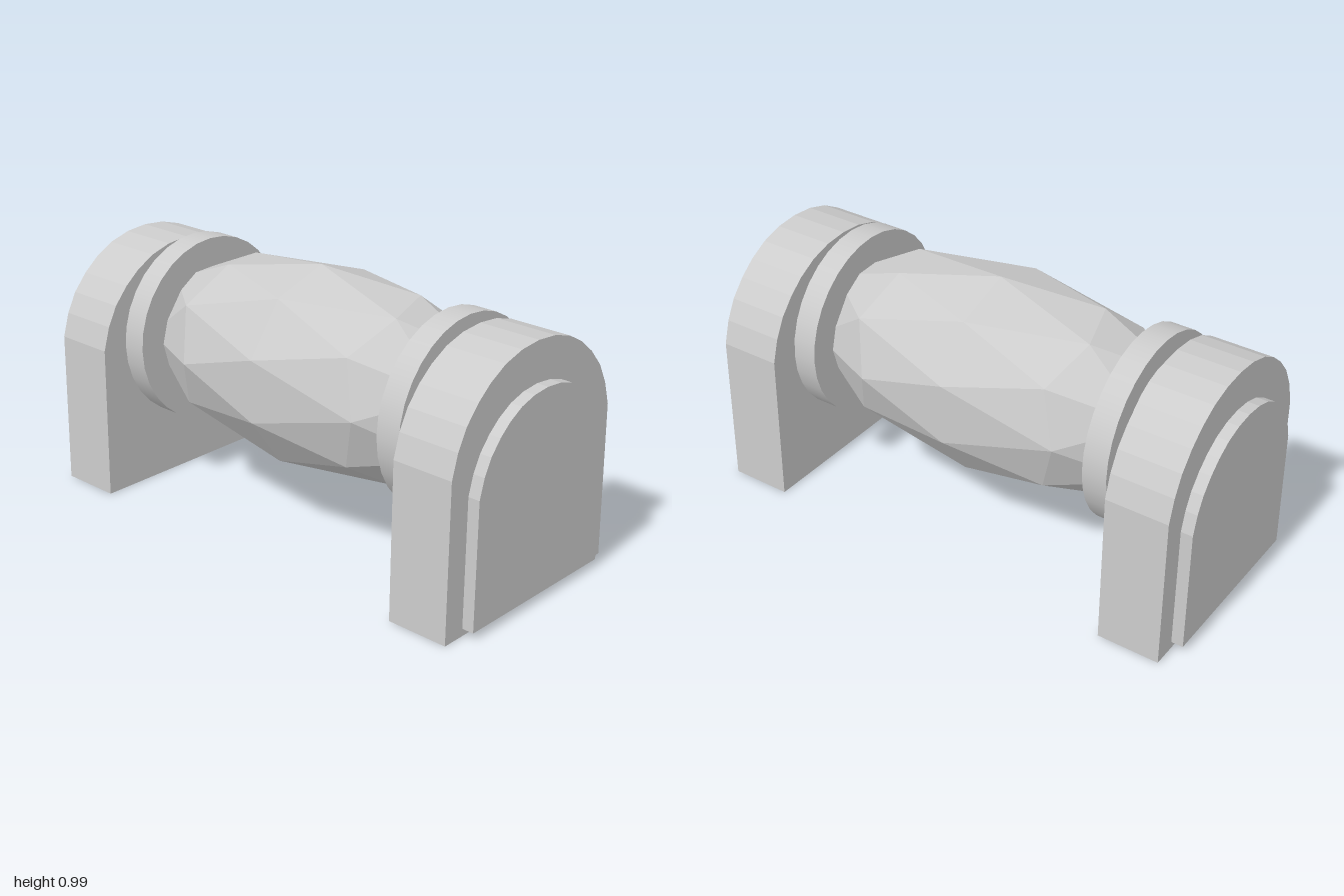
import * as THREE from 'three';

const AXIS_Y = 0.605;
// Right half of the arched outline, from the foot to the crown
const ARCH = [[0.44, 0], [0.432, 0.59], [0.405, 0.68], [0.366, 0.755], [0.31, 0.82],
  [0.25, 0.87], [0.175, 0.912], [0.09, 0.937], [0, 0.945]];

export function createModel() {
  const model = new THREE.Group();
  const smooth = new THREE.MeshStandardMaterial({ color: 0xcccccc });
  const faceted = new THREE.MeshStandardMaterial({ color: 0xcccccc, flatShading: true });

  function add(name, geometry, material) {
    const mesh = new THREE.Mesh(geometry, material);
    mesh.name = name;
    model.add(mesh);
  }

  // Arched slab between two z positions
  function arch(sx, sy, lift, z0, z1) {
    const right = ARCH.map(([x, y]) => new THREE.Vector2(x * sx, y * sy + lift));
    const left = right.slice(0, -1).reverse().map(p => new THREE.Vector2(-p.x, p.y));
    const geometry = new THREE.ExtrudeGeometry(new THREE.Shape([...right, ...left]),
      { depth: z1 - z0, bevelEnabled: false });
    return geometry.translate(0, 0, z0);
  }

  // Round disc lying along z
  function disc(radius, z0, z1) {
    return new THREE.CylinderGeometry(radius, radius, z1 - z0, 32)
      .rotateX(Math.PI / 2).translate(0, AXIS_Y, (z0 + z1) / 2);
  }

  // Faceted barrel: a stretched icosphere with its pole turned onto z
  const barrel = new THREE.IcosahedronGeometry(0.385, 1)
    .rotateX(Math.atan(2 / (1 + Math.sqrt(5))))
    .rotateZ(Math.PI / 2)
    .scale(1, 1, 0.83 / 0.385)
    .translate(0, AXIS_Y, 0);
  add('barrel', barrel, faceted);

  // Collar, neck, arched block and raised end panel at each end
  for (const [side, s] of [['front', 1], ['back', -1]]) {
    const span = (a, b) => (s > 0 ? [a, b] : [-b, -a]);
    add(side + 'Collar', disc(0.361, ...span(0.58, 0.675)), smooth);
    add(side + 'Neck', disc(0.278, ...span(0.58, 0.73)), smooth);
    add(side + 'ArchBlock', arch(1, 1, 0, ...span(0.715, 0.955)), faceted);
    add(side + 'EndPanel', arch(0.797, 0.811, 0.028, ...span(0.95, 1)), faceted);
  }
  return model;
}
